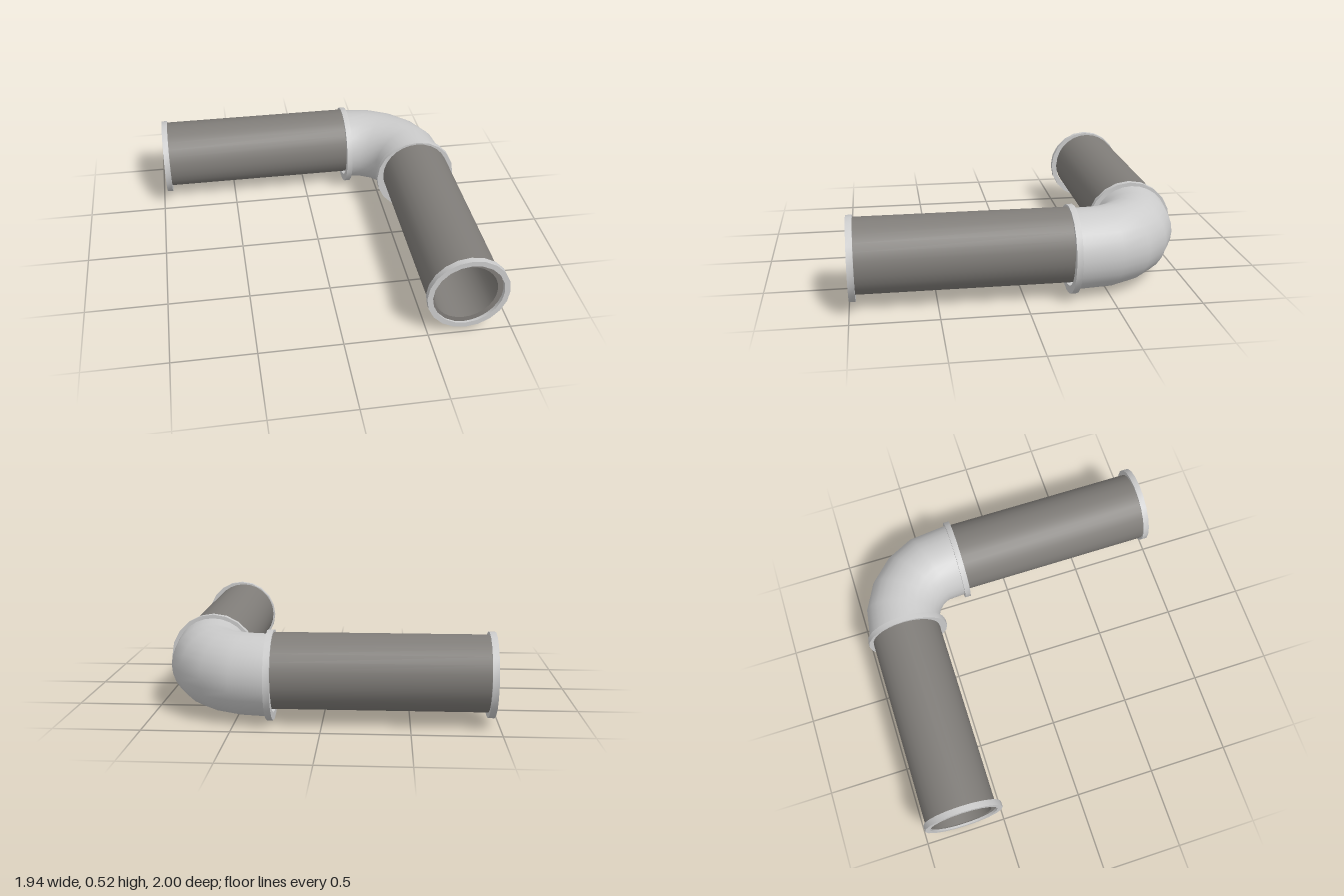
import * as THREE from 'three';
import { toCreasedNormals } from 'three/addons/utils/BufferGeometryUtils.js';

const grey = new THREE.MeshStandardMaterial({ color: 0xcccccc });
const dark = new THREE.MeshStandardMaterial({ color: 0x807d79 });

// Hollow cylinder running from start along +x or +z
function ring(name, axis, start, length, outer, inner, sides, material) {
  const profile = [[outer, 0], [outer, length], [inner, length], [inner, 0], [outer, 0]]
    .map(([r, h]) => new THREE.Vector2(r, h));
  let geometry = new THREE.LatheGeometry(profile, sides);
  if (axis === 'x') geometry.rotateZ(-Math.PI / 2);
  else geometry.rotateX(Math.PI / 2);
  geometry = toCreasedNormals(geometry, 0.5);
  const mesh = new THREE.Mesh(geometry, material);
  mesh.name = name;
  mesh.position.set(...start);
  return mesh;
}

// One wall of the quarter bend: round cross-sections swept in five steps
function bendWall(name, radius, inward) {
  const sides = 28, bend = 0.386, cx = 0.323, cz = -0.36, y = 0.263;
  const sections = [{ t: 0, dx: -0.03, dz: 0 }];
  for (let i = 0; i <= 5; i++) {
    sections.push({ t: i * Math.PI / 10, dx: 0, dz: i === 5 ? 0.075 : 0 });
  }
  const positions = [], index = [];
  sections.forEach(({ t, dx, dz }, i) => {
    for (let j = 0; j < sides; j++) {
      const p = j / sides * Math.PI * 2;
      const r = bend + radius * Math.cos(p);
      positions.push(cx + dx + r * Math.sin(t), y + radius * Math.sin(p), cz + dz - r * Math.cos(t));
      if (i === sections.length - 1) continue;
      const a = i * sides + j, b = i * sides + (j + 1) % sides;
      const c = a + sides, d = b + sides;
      if (inward) index.push(a, c, b, b, c, d);
      else index.push(a, b, c, b, d, c);
    }
  });
  const geometry = new THREE.BufferGeometry();
  geometry.setAttribute('position', new THREE.Float32BufferAttribute(positions, 3));
  geometry.setIndex(index);
  geometry.computeVertexNormals();
  const mesh = new THREE.Mesh(geometry, grey);
  mesh.name = name;
  return mesh;
}

export function createModel() {
  const model = new THREE.Group();
  model.name = 'elbowPipe';

  // Straight pipes
  model.add(ring('sidePipe', 'x', [-0.96, 0.29, -0.746], 1.265, 0.22, 0.187, 28, dark));
  model.add(ring('frontPipe', 'z', [0.707, 0.29, -0.29], 1.275, 0.22, 0.187, 28, dark));

  // Collars at the open ends
  model.add(ring('sideEndCollar', 'x', [-0.972, 0.28, -0.735], 0.037, 0.245, 0.212, 20, grey));
  model.add(ring('frontEndCollar', 'z', [0.722, 0.28, 0.96], 0.037, 0.245, 0.212, 20, grey));

  // Collars where the pipes meet the bend
  model.add(ring('sideBendCollar', 'x', [0.28, 0.262, -0.738], 0.036, 0.261, 0.215, 20, grey));
  model.add(ring('frontBendCollar', 'z', [0.708, 0.262, -0.302], 0.036, 0.261, 0.215, 20, grey));

  // Bend, outside and inside walls
  const elbow = new THREE.Group();
  elbow.name = 'elbow';
  elbow.add(bendWall('elbowOuterWall', 0.237, false), bendWall('elbowInnerWall', 0.215, true));
  model.add(elbow);
  return model;
}
